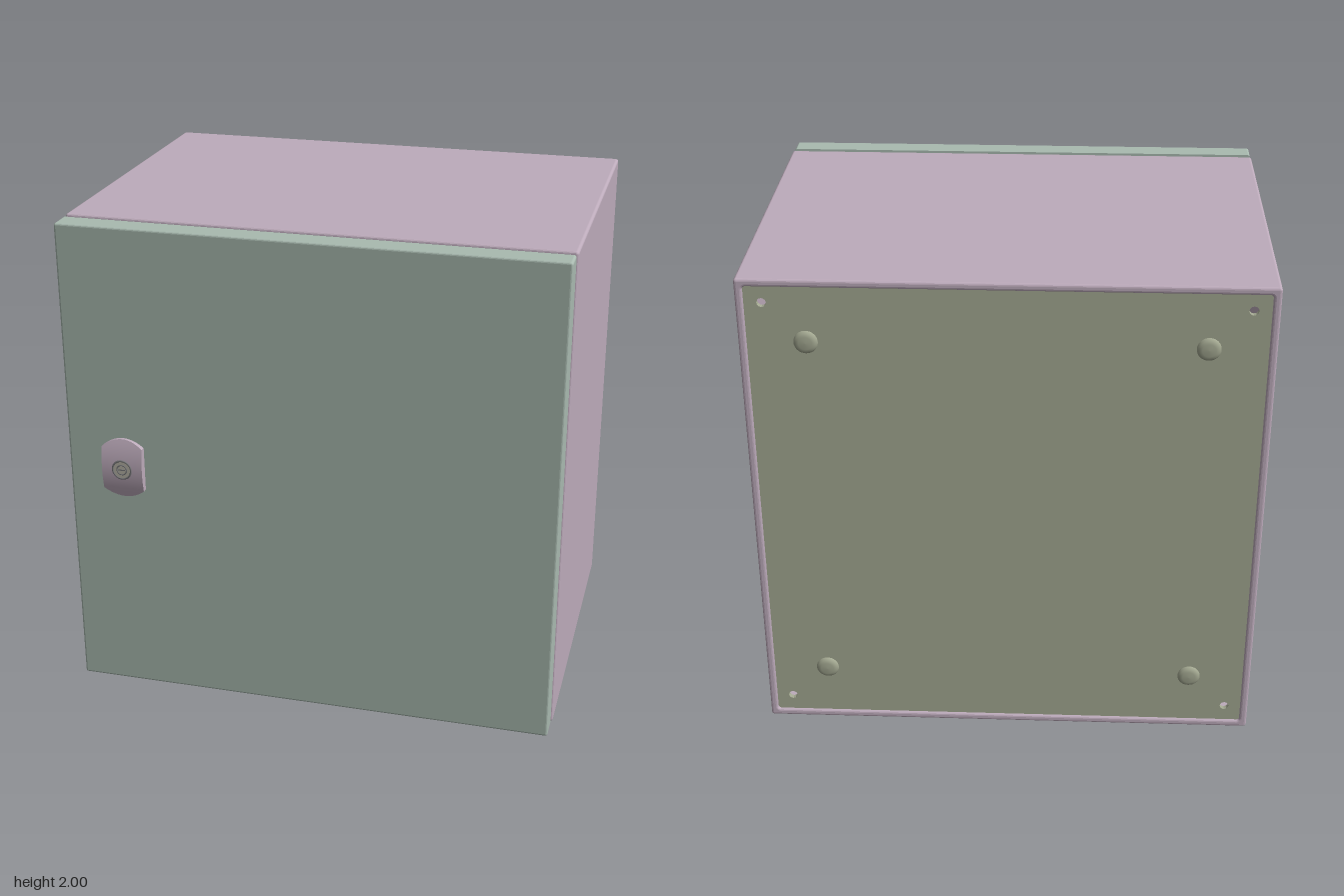
import * as THREE from 'three';

const mat = (color) => new THREE.MeshStandardMaterial({ color });
const BODY = mat(0xbdabbb), DOOR = mat(0xa9bab0), BACK = mat(0xa3a891);
const PLATE = mat(0x9da9b1), METAL = mat(0xb5b3a6), DARK = mat(0x77777a);
const CX = 0.005; // centre line of the cabinet, the catches stand out on -x

function roundRect(target, x0, x1, y0, y1, r) {
  target.moveTo(x0 + r, y0);
  target.lineTo(x1 - r, y0);
  target.absarc(x1 - r, y0 + r, r, -Math.PI / 2, 0);
  target.absarc(x1 - r, y1 - r, r, 0, Math.PI / 2);
  target.absarc(x0 + r, y1 - r, r, Math.PI / 2, Math.PI);
  target.absarc(x0 + r, y0 + r, r, Math.PI, Math.PI * 1.5);
  return target;
}

// Bevelled slab from z0 to z1; rect = [x0, x1, y0, y1, radius]
function slab(rect, z0, z1, bevel = 0, holes = []) {
  const shape = roundRect(new THREE.Shape(), ...rect);
  shape.holes = holes;
  const geo = new THREE.ExtrudeGeometry(shape, {
    depth: z1 - z0 - 2 * bevel, curveSegments: 6, bevelEnabled: bevel > 0,
    bevelThickness: bevel, bevelSize: bevel, bevelOffset: -bevel, bevelSegments: 3,
  });
  return geo.translate(0, 0, z0 + bevel);
}
const rectHole = (...rect) => roundRect(new THREE.Path(), ...rect);
const roundHole = (x, y, r) => new THREE.Path().absarc(x, y, r, 0, Math.PI * 2);

export function createModel() {
  const model = new THREE.Group();
  const add = (name, geo, material, parent = model) => {
    const mesh = new THREE.Mesh(geo, material);
    mesh.name = name;
    parent.add(mesh);
    return mesh;
  };
  const box = (w, h, d, x, y, z) => new THREE.BoxGeometry(w, h, d).translate(x, y, z);
  const disc = (r0, r1, d, x, y, z) =>
    new THREE.CylinderGeometry(r0, r1, d, 32).rotateX(Math.PI / 2).translate(x, y, z);

  // Cabinet: wrapped walls, front flange and door collar
  const outer = [-0.98, 0.99, 0.02, 2, 0.012];
  add('cabinetWalls', slab(outer, -0.755, 0.61, 0.01,
    [rectHole(-0.95, 0.96, 0.05, 1.97, 0.012)]), BODY);
  add('frontFlange', slab([-0.96, 0.97, 0.04, 1.98, 0.01], 0.585, 0.607, 0,
    [rectHole(-0.86, 0.88, 0.15, 1.88, 0.02)]), BODY);
  add('doorCollar', slab([-0.88, 0.89, 0.13, 1.9, 0.02], 0.6, 0.69, 0,
    [rectHole(-0.86, 0.87, 0.15, 1.88, 0.015)]), BODY);

  // Back panel with mounting holes and round plugs
  const corners = [];
  for (const sx of [-1, 1]) for (const y of [0.12, 1.905]) corners.push([CX + sx * 0.89, y]);
  add('backPanel', slab([-0.96, 0.97, 0.04, 1.98, 0.01], -0.745, -0.725, 0,
    corners.map(([x, y]) => roundHole(x, y, 0.018))), BACK);
  for (const sx of [-1, 1]) {
    for (const y of [0.27, 1.75]) {
      const profile = [[0, 0.017], [0.025, 0.016], [0.038, 0.012], [0.045, 0.004], [0.045, 0]]
        .reverse().map(([r, h]) => new THREE.Vector2(r, h));
      const plug = add('backPlug', new THREE.LatheGeometry(profile, 32), BACK);
      plug.rotation.x = -Math.PI / 2;
      plug.position.set(CX + sx * 0.737, y, -0.745);
    }
  }

  // Door: shallow pan, open towards the cabinet
  const doorRect = [-0.977, 0.985, 0.028, 1.997, 0.01];
  add('doorFace', slab(doorRect, 0.7, 0.73, 0.008), DOOR);
  add('doorRim', slab(doorRect, 0.637, 0.718, 0, [rectHole(-0.95, 0.958, 0.055, 1.97, 0.01)]), DOOR);

  // Concealed hinges and catches in the door gap
  for (const side of [-1, 1]) {
    for (const y of [1.57, 1.695, 1.825, 0.465, 0.335, 0.205]) {
      const tall = y === 1.695 || y === 0.335;
      add('hingePart', box(0.022, tall ? 0.05 : 0.038, 0.085, CX + side * 0.895, y, 0.6525), DOOR);
    }
  }
  for (const y of [0.295, 1.73]) {
    add('sideCatch', box(0.022, 0.05, 0.085, -0.979, y, 0.645), DARK);
  }

  // Domed lock escutcheon with curved ends
  const lock = new THREE.Group();
  lock.name = 'lock';
  lock.position.set(-0.745, 1.012, 0.73);
  model.add(lock);
  const cover = new THREE.BoxGeometry(0.168, 2, 1, 16, 20, 1);
  const p = cover.attributes.position;
  for (let i = 0; i < p.count; i++) {
    const x = p.getX(i), v = p.getY(i);
    const half = 0.124 - 0.034 * (x / 0.084) ** 2;
    const y = v * half;
    p.setY(i, y);
    p.setZ(i, p.getZ(i) > 0 ? 0.033 - 0.021 * (y / 0.124) ** 2 : -0.004);
  }
  cover.computeVertexNormals();
  add('lockCover', cover, BODY, lock);
  add('lockRing', new THREE.TorusGeometry(0.038, 0.004, 10, 40).translate(0, 0, 0.032), DARK, lock);
  add('lockInsert', disc(0.035, 0.035, 0.01, 0, 0, 0.029), METAL, lock);
  add('lockCore', new THREE.TorusGeometry(0.02, 0.003, 8, 32).translate(0, 0, 0.033), DARK, lock);
  add('lockSlot', box(0.03, 0.005, 0.003, 0, 0, 0.0345), DARK, lock);

  // Cable entry plate under the cabinet, fixed with screws
  const plate = add('entryPlate', slab([-0.84, 0.85, -0.04, 0.715, 0.08], 0, 0.024, 0.007), PLATE);
  plate.rotation.x = -Math.PI / 2; // drawn y becomes -z, extrusion becomes y
  const screws = [];
  for (const x of [-0.5, 0, 0.5]) screws.push([CX + x, -0.665], [CX + x, -0.01]);
  for (const sx of [-1, 1]) for (const z of [-0.54, -0.135]) screws.push([CX + sx * 0.79, z]);
  for (const [x, z] of screws) {
    add('plateScrew', new THREE.CylinderGeometry(0.016, 0.014, 0.008, 16).translate(x, 0.003, z), METAL);
  }
  return model;
}
